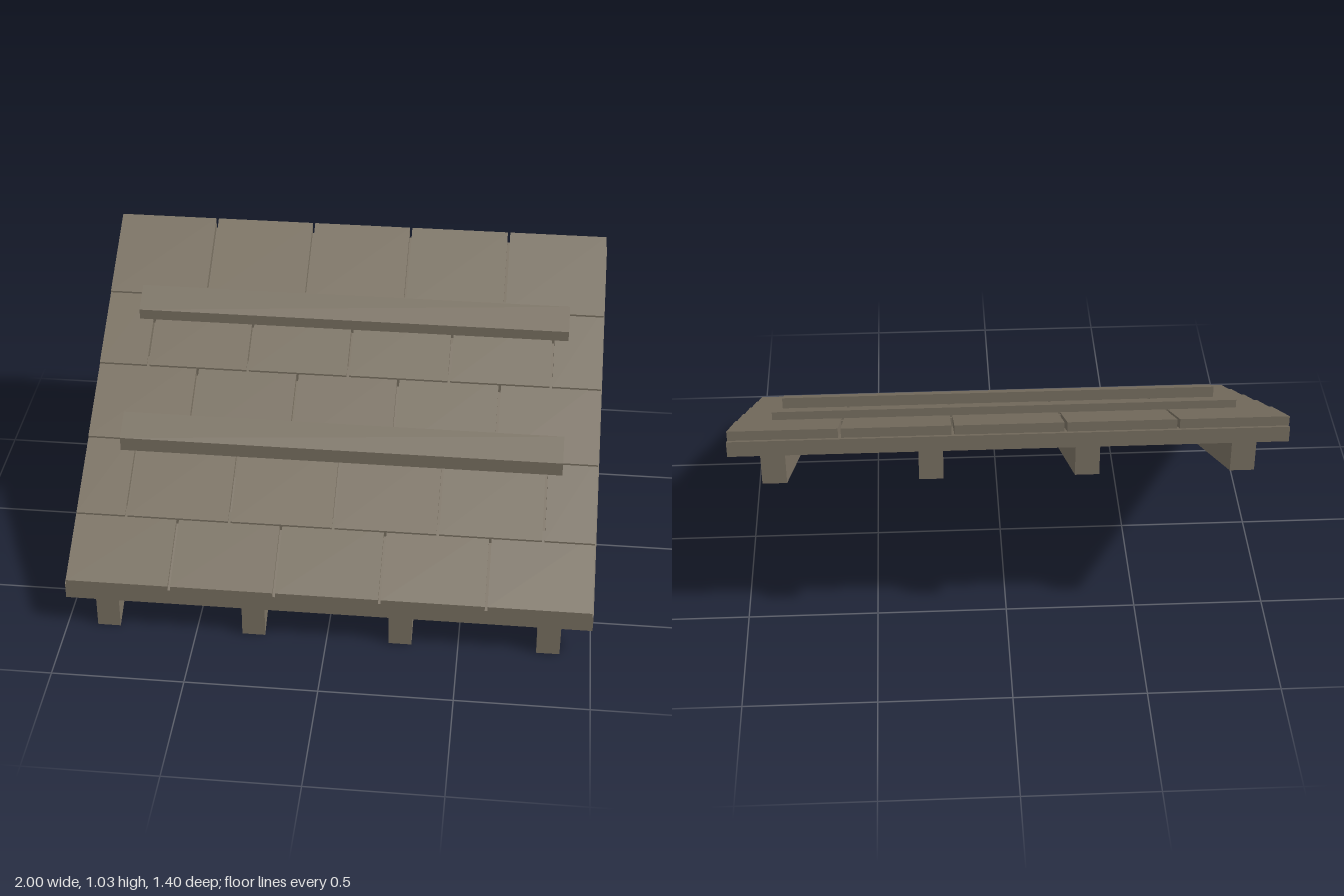
import * as THREE from 'three';

const SLOPE = 0.571;  // rise per unit of depth
const FRONT = 0.7;    // z of the eave; the ridge edge is at -FRONT

export function createModel() {
  const roof = new THREE.Group();
  roof.name = 'roofPanel';
  const wood = new THREE.MeshStandardMaterial({ color: 0x7b7263 });
  wood.name = 'weatheredWood';

  // A board that follows the slope, with plumb-cut ends.
  // Low and high are heights above the sloping underside of the rafters.
  function slopedBoard(name, x0, x1, zFront, zBack, low, high, parent) {
    const geometry = new THREE.BoxGeometry(x1 - x0, high - low, zFront - zBack);
    geometry.translate((x0 + x1) / 2, (low + high) / 2, (zFront + zBack) / 2);
    const p = geometry.attributes.position;
    for (let i = 0; i < p.count; i++) {
      p.setY(i, p.getY(i) + (FRONT - p.getZ(i)) * SLOPE);
    }
    geometry.computeVertexNormals();
    const mesh = new THREE.Mesh(geometry, wood);
    mesh.name = name;
    parent.add(mesh);
  }

  // Rafters
  const rafters = new THREE.Group();
  rafters.name = 'rafters';
  for (const x of [-0.84, -0.28, 0.28, 0.84]) {
    slopedBoard('rafter', x - 0.044, x + 0.044, FRONT, -FRONT, 0, 0.123, rafters);
  }
  roof.add(rafters);

  // Deck
  slopedBoard('deck', -1, 1, FRONT, -FRONT, 0.123, 0.187, roof);

  // Overlapping shingle courses, with staggered joints
  const gap = 0.005;
  for (let row = 0; row < 5; row++) {
    const course = new THREE.Group();
    course.name = 'shingleCourse';
    const zFront = Math.min(FRONT, 0.74 - 0.28 * row);
    const zBack = 0.42 - 0.28 * row;
    const top = 0.205 + 0.007 * row;
    const shift = row % 2 ? 0.2 : 0;
    for (let x = -1 - shift; x < 0.99; x += 0.4) {
      const left = Math.max(x, -1) + gap;
      const right = Math.min(x + 0.4, 1) - gap;
      slopedBoard('shingle', left, right, zFront, zBack, top - 0.04, top, course);
    }
    roof.add(course);
  }

  // Battens across the shingles
  for (const z of [0.22, -0.28]) {
    slopedBoard('batten', -0.86, 0.86, z, z - 0.1, 0.212, 0.268, roof);
  }
  return roof;
}
